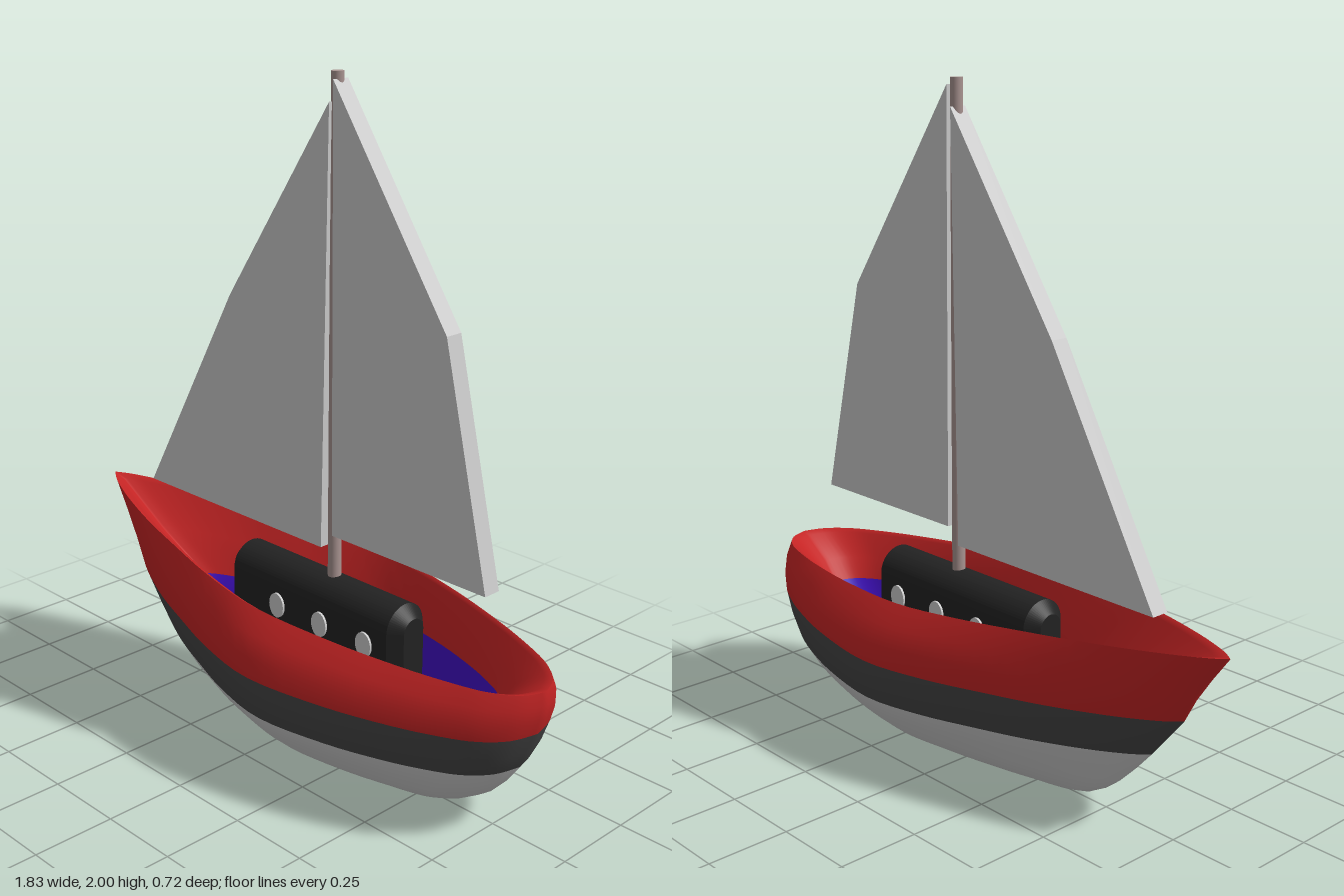
import * as THREE from 'three';

const mat = (color) => new THREE.MeshStandardMaterial({ color });
const grey = mat(0xcccccc);
const red = mat(0xc42424);
const charcoal = mat(0x444444);
const black = mat(0x222222);
const violet = mat(0x4010c0);
const wood = mat(0xa89390);

// Half waterline from bow (0) to stern (1), mirrored into a closed ring
const half = new THREE.SplineCurve([
  [0, 0], [0.03, 0.13], [0.1, 0.33], [0.2, 0.55], [0.3, 0.72], [0.42, 0.9], [0.55, 1],
  [0.7, 0.89], [0.82, 0.72], [0.9, 0.56], [0.95, 0.42], [0.985, 0.23], [1, 0],
].map(([u, w]) => new THREE.Vector2(u, w))).getPoints(48);
const ring = [...half, ...half.slice(1, -1).reverse().map((p) => new THREE.Vector2(p.x, -p.y))];

// Skins the levels [y, sheer, bowX, sternX, halfWidth], then cuts them into
// coloured bands [name, first level, last level, material] sharing normals
function addShell(group, levels, bands) {
  const n = ring.length;
  const positions = [];
  const index = [];
  levels.forEach(([y, sheer, bow, stern, width], i) => {
    ring.forEach((p, j) => {
      positions.push(bow + (stern - bow) * p.x, y + sheer * (1 - 2 * p.x), width * p.y);
      if (i === levels.length - 1) return;
      const a = i * n + j;
      const b = i * n + (j + 1) % n;
      index.push(a, b, a + n, b, b + n, a + n);
    });
  });
  const whole = new THREE.BufferGeometry();
  whole.setAttribute('position', new THREE.Float32BufferAttribute(positions, 3));
  whole.setIndex(index);
  whole.computeVertexNormals();
  for (const [name, from, to, material] of bands) {
    const part = whole.clone();
    part.setIndex(index.slice(from * n * 6, to * n * 6));
    addMesh(group, name, part.toNonIndexed(), material);
  }
}

function addMesh(group, name, geometry, material) {
  const mesh = new THREE.Mesh(geometry, material);
  mesh.name = name;
  group.add(mesh);
  return mesh;
}

// Flat sail of even thickness, centred on z = 0
function addSail(group, name, corners) {
  const shape = new THREE.Shape(corners.map(([x, y]) => new THREE.Vector2(x, y)));
  const geometry = new THREE.ExtrudeGeometry(shape, { depth: 0.056, bevelEnabled: false });
  addMesh(group, name, geometry.translate(0, 0, -0.028), grey);
}

export function createModel() {
  const boat = new THREE.Group();
  boat.name = 'sailboat';

  // Outer hull, keel to rim
  const hull = new THREE.Group();
  hull.name = 'hull';
  boat.add(hull);
  addShell(hull, [
    [0, 0, -0.3, 0.45, 0],
    [0, 0, -0.36, 0.53, 0.08],
    [0.02, 0, -0.43, 0.6, 0.13],
    [0.06, 0, -0.5, 0.68, 0.195],
    [0.1, 0.001, -0.55, 0.74, 0.24],
    [0.16, 0.002, -0.61, 0.795, 0.295],
    [0.22, 0.004, -0.665, 0.835, 0.335],
    [0.28, 0.006, -0.715, 0.865, 0.352],
    [0.35, 0.01, -0.775, 0.89, 0.36],
    [0.41, 0.025, -0.815, 0.905, 0.35],
    [0.47, 0.04, -0.865, 0.912, 0.325],
    [0.528, 0.057, -0.92, 0.908, 0.28],
  ], [
    ['hullBottom', 0, 6, grey],
    ['hullStripe', 6, 8, charcoal],
    ['hullTopside', 8, 11, red],
  ]);

  // Inside of the hull, rim to floor
  addShell(hull, [
    [0.528, 0.057, -0.92, 0.908, 0.28],
    [0.518, 0.055, -0.87, 0.88, 0.267],
    [0.43, 0.03, -0.68, 0.79, 0.24],
    [0.35, 0.01, -0.47, 0.735, 0.217],
    [0.22, 0.004, -0.44, 0.67, 0.205],
    [0.15, 0, -0.38, 0.6, 0.18],
    [0.09, 0, -0.25, 0.5, 0.11],
    [0.07, 0, -0.1, 0.3, 0],
  ], [
    ['innerWall', 0, 3, red],
    ['innerBand', 3, 4, violet],
    ['innerFloor', 4, 7, grey],
  ]);

  // Round-topped cabin with chamfered ends
  const cabin = new THREE.Group();
  cabin.name = 'cabin';
  boat.add(cabin);
  const bevel = 0.035;
  const r = 0.075 - bevel;
  const section = new THREE.Shape();
  section.moveTo(-r, 0.12);
  section.lineTo(r, 0.12);
  section.lineTo(r, 0.475);
  section.absarc(0, 0.475, r, 0, Math.PI);
  section.closePath();
  const body = new THREE.ExtrudeGeometry(section, {
    depth: 0.64, curveSegments: 16, bevelSize: bevel, bevelThickness: bevel, bevelSegments: 1,
  });
  addMesh(cabin, 'cabinBody', body.rotateY(Math.PI / 2).translate(-0.235, 0, 0), black);

  // Portholes along both sides
  for (const side of [-1, 1]) {
    for (const x of [-0.04, 0.14, 0.32]) {
      const port = new THREE.CylinderGeometry(0.03, 0.03, 0.02, 20).rotateX(Math.PI / 2);
      const mesh = addMesh(cabin, 'porthole', port, grey);
      mesh.scale.y = 1.3;
      mesh.position.set(x, 0.42, side * 0.072);
    }
  }

  // Mast and the two sails
  const mast = addMesh(boat, 'mast', new THREE.CylinderGeometry(0.018, 0.02, 1.55, 16), wood);
  mast.position.set(0.124, 1.225, 0);
  addSail(boat, 'foreSail', [[-0.68, 0.635], [0.095, 0.635], [0.12, 1.92], [-0.29, 1.32]]);
  addSail(boat, 'aftSail', [[0.14, 0.685], [0.715, 0.685], [0.555, 1.365], [0.135, 1.98]]);

  return boat;
}
